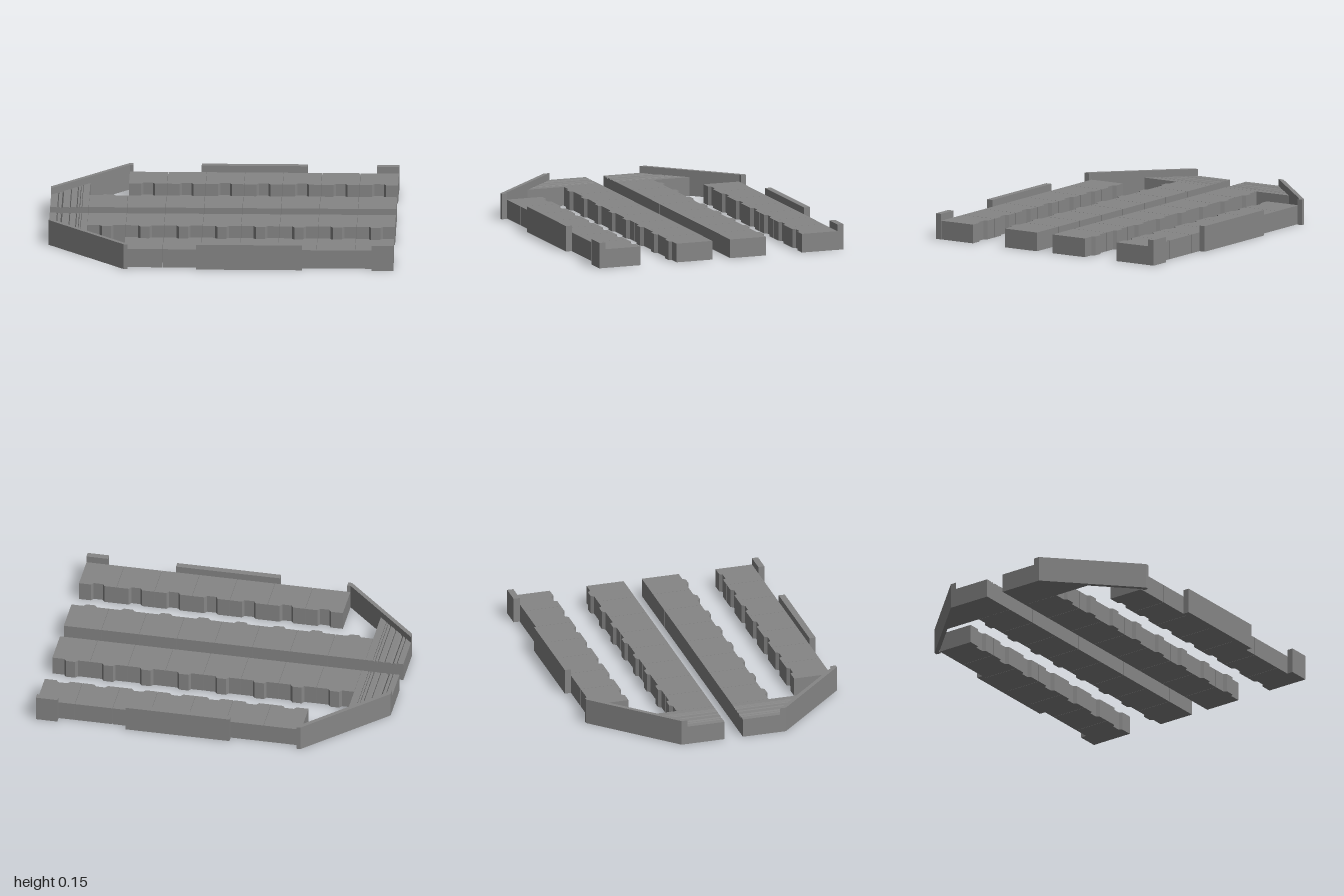
import * as THREE from 'three';

const material = new THREE.MeshStandardMaterial({ color: 0x868686, flatShading: true });
const SEG = 2 / 9;      // length of one platform segment
const GAP = 0.001;      // half the seam between segments
const DECK = 0.11;      // platform height
const WALL = 0.15;      // wall height

// Extrude a plan outline of [x, z] points upward from the ground
function slab(name, points, side, height) {
  const shape = new THREE.Shape(points.map(([x, z]) => new THREE.Vector2(x, z * side)));
  const geometry = new THREE.ExtrudeGeometry(shape, { depth: height, bevelEnabled: false });
  geometry.rotateX(Math.PI / 2).translate(0, height, 0);
  const mesh = new THREE.Mesh(geometry, material);
  mesh.name = name;
  return mesh;
}

function rect(x0, x1, z0, z1) {
  return [[x0, z0], [x1, z0], [x1, z1], [x0, z1]];
}

// Segment whose edge at zEdge carries a small trapezoid reaching zEdge + 0.018
function segment(name, start, zBack, zEdge, side) {
  const c = start + SEG / 2, x0 = start + GAP, x1 = start + SEG - GAP, zTip = zEdge + 0.018;
  return slab(name, [
    [x0, zBack], [x0, zEdge], [c - 0.04, zEdge], [c - 0.027, zTip],
    [c + 0.027, zTip], [c + 0.04, zEdge], [x1, zEdge], [x1, zBack],
  ], side, DECK);
}

// Block with V-grooves across its top, its outer end cut at 45 degrees
function endBlock(side) {
  const grooves = [[-0.959, 0.012], [-0.935, 0.018], [-0.887, 0.012], [-0.848, 0.012], [-0.831, 0.008], [-0.818, 0.006]];
  const profile = new THREE.Shape();
  profile.moveTo(-0.778, 0).lineTo(-1, 0).lineTo(-1, DECK);
  for (const [x, width] of grooves) {
    profile.lineTo(x - width / 2, DECK).lineTo(x, DECK - width * 0.7).lineTo(x + width / 2, DECK);
  }
  profile.lineTo(-0.778, DECK);
  const geometry = new THREE.ExtrudeGeometry(profile, { depth: 1, bevelEnabled: false });
  const p = geometry.attributes.position;
  for (let i = 0; i < p.count; i++) {
    const t = side > 0 ? p.getZ(i) : 1 - p.getZ(i);
    p.setZ(i, side * (0.055 + t * (p.getX(i) + 1.28 - 0.055)));
  }
  geometry.computeVertexNormals();
  const mesh = new THREE.Mesh(geometry, material);
  mesh.name = 'endBlock';
  return mesh;
}

function buildSide(side) {
  const half = new THREE.Group();
  half.name = side > 0 ? 'frontHalf' : 'backHalf';

  // Inner platform with bumps along its outer edge
  const inner = new THREE.Group();
  inner.name = 'innerPlatform';
  for (let i = 0; i < 8; i++) inner.add(segment('innerSegment', 1 - (i + 1) * SEG, 0.055, 0.278, side));

  // Outer platform with notches along its inner edge
  const outer = new THREE.Group();
  outer.name = 'outerPlatform';
  for (let i = 0; i < 7; i++) outer.add(segment('outerSegment', 1 - (i + 1) * SEG, 0.72, 0.5, side));

  // Walls: diagonal at the end, a long panel and a corner panel on the outer side
  const diagonal = [[-1, 0.28], [-1, 0.315], [-0.557, 0.757], [-0.535, 0.757], [-0.535, 0.725], [-0.555, 0.725]];
  half.add(
    inner, outer, endBlock(side),
    slab('diagonalWall', diagonal, side, WALL),
    slab('longWall', rect(-0.14, 0.472, 0.72, 0.757), side, WALL),
    slab('cornerWall', rect(0.873, 1, 0.72, 0.757), side, WALL),
  );
  return half;
}

export function createModel() {
  const model = new THREE.Group();
  model.name = 'stationPlatforms';
  for (const side of [1, -1]) model.add(buildSide(side));
  return model;
}
